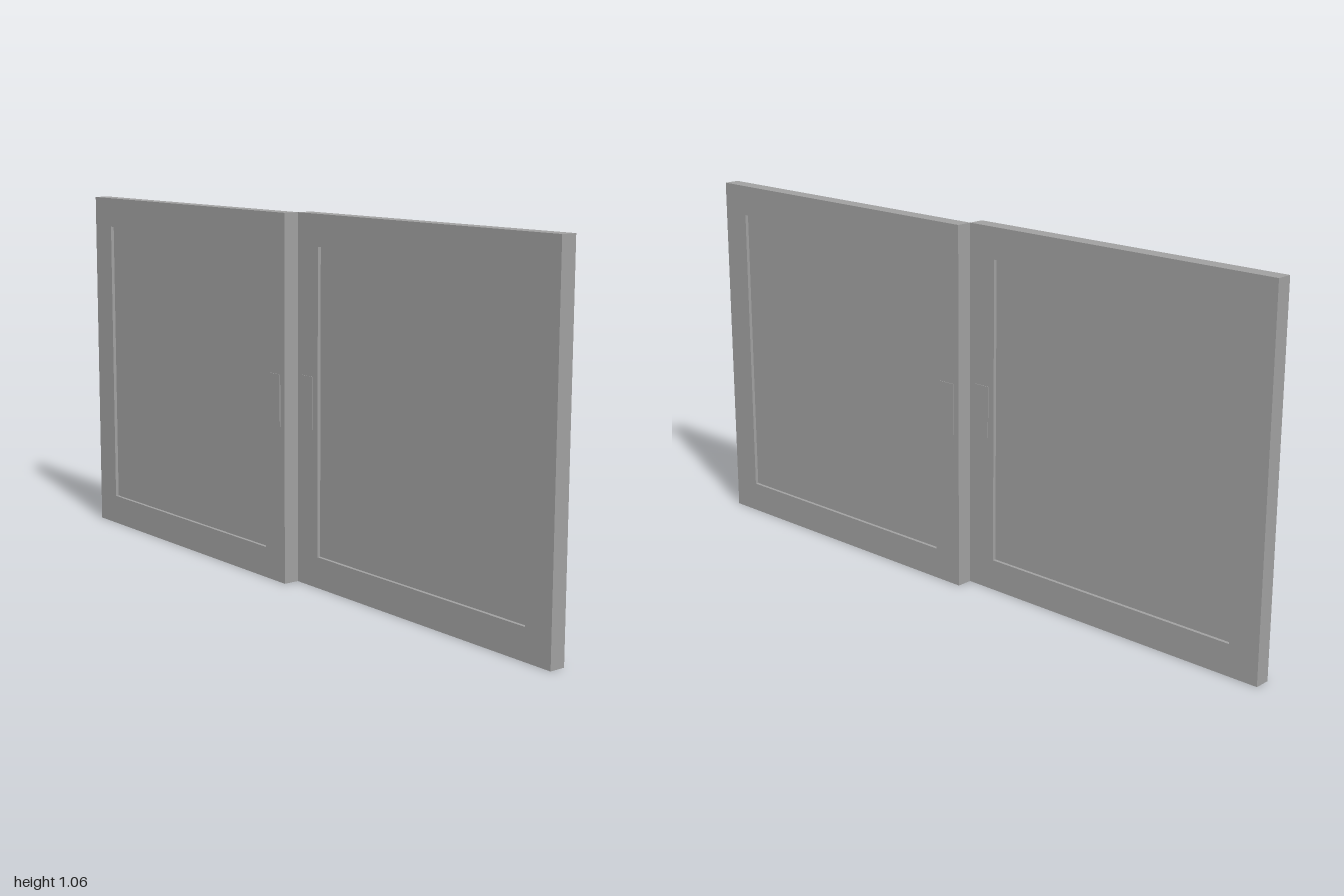
import * as THREE from 'three';

const HEIGHT = 1.057;    // panel height (each panel is 1 wide)
const DEPTH = 0.047;     // panel thickness
const BORDER = 0.09;     // width of the frame around the pane
const RECESS = 0.01;     // pane set back from both frame faces
const PULL_RISE = 0.002; // how far the pulls stand proud

function rectangle(PathType, x0, y0, x1, y1) {
  return new PathType([
    new THREE.Vector2(x0, y0), new THREE.Vector2(x1, y0),
    new THREE.Vector2(x1, y1), new THREE.Vector2(x0, y1),
  ]);
}

// One sliding panel, spanning x 0..1 and z -DEPTH..0
function createPanel(name, material) {
  const panel = new THREE.Group();
  panel.name = name;
  const add = (part, geometry, x, y, z) => {
    const mesh = new THREE.Mesh(geometry, material);
    mesh.name = part;
    mesh.position.set(x, y, z);
    panel.add(mesh);
  };

  // Frame with a rectangular opening
  const outline = rectangle(THREE.Shape, 0, 0, 1, HEIGHT);
  outline.holes.push(rectangle(THREE.Path, BORDER, BORDER, 1 - BORDER, HEIGHT - BORDER));
  add('frame', new THREE.ExtrudeGeometry(outline, { depth: DEPTH, bevelEnabled: false }), 0, 0, -DEPTH);

  // Recessed pane filling the opening
  add('pane', new THREE.BoxGeometry(1 - 2 * BORDER, HEIGHT - 2 * BORDER, DEPTH - 2 * RECESS),
    0.5, HEIGHT / 2, -DEPTH / 2);

  // Thin finger pulls on both faces, beside the meeting edge
  for (const [part, z] of [['innerPull', PULL_RISE / 2], ['outerPull', -DEPTH - PULL_RISE / 2]]) {
    add(part, new THREE.BoxGeometry(0.05, 0.15, PULL_RISE), 0.045, HEIGHT / 2, z);
  }
  return panel;
}

export function createModel() {
  const grey = new THREE.MeshStandardMaterial({ color: 0xa0a0a0 });
  grey.name = 'grey';

  const model = new THREE.Group();
  model.name = 'slidingPanels';

  // The front panel is the back one turned half a turn
  const backPanel = createPanel('backPanel', grey);
  const frontPanel = createPanel('frontPanel', grey);
  frontPanel.rotation.y = Math.PI;
  model.add(backPanel, frontPanel);
  return model;
}
